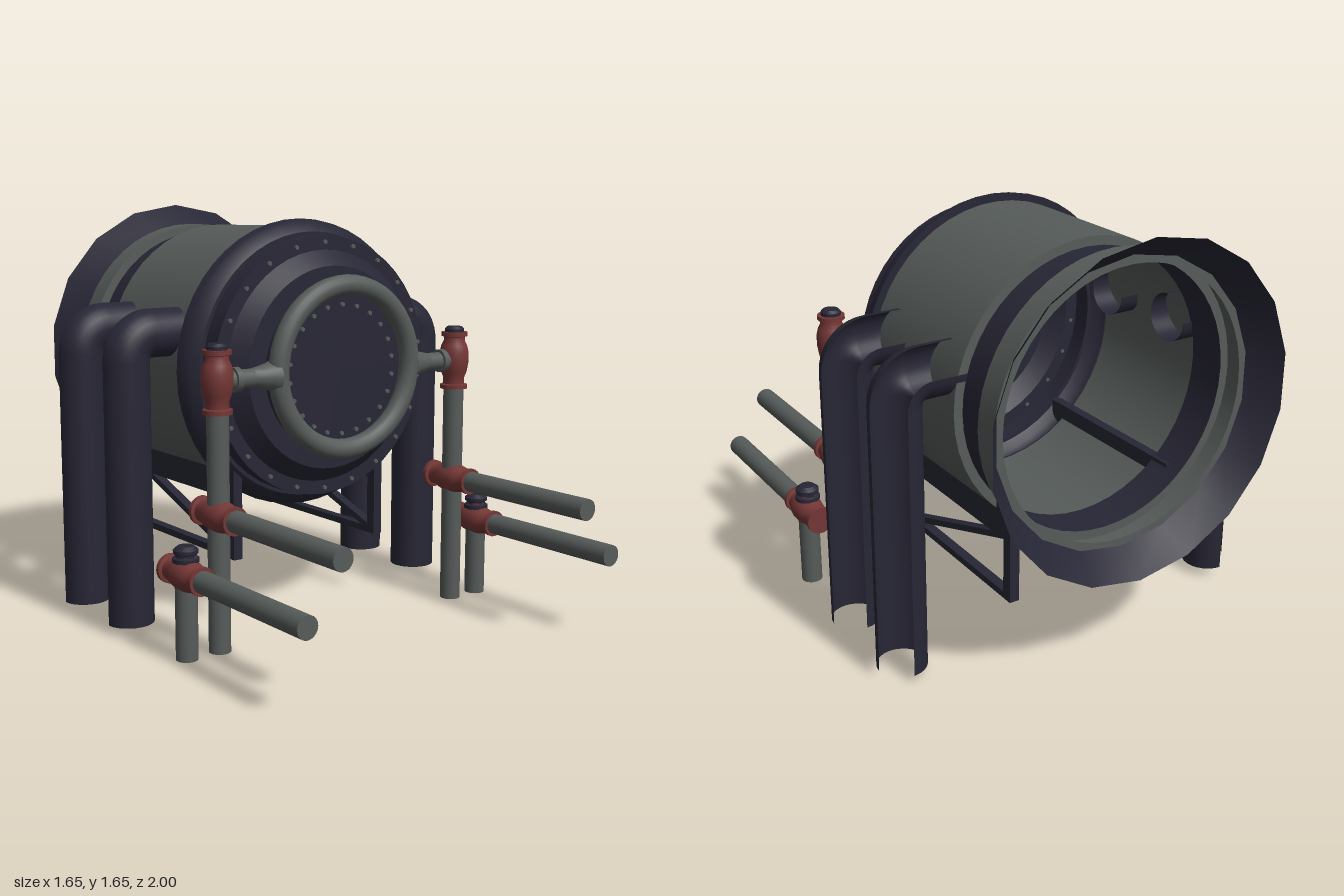
import * as THREE from 'three';
import { toCreasedNormals } from 'three/addons/utils/BufferGeometryUtils.js';
import { ParametricGeometry } from 'three/addons/geometries/ParametricGeometry.js';

const material = (name, color) => {
  const m = new THREE.MeshStandardMaterial({ color, side: THREE.DoubleSide });
  m.name = name;
  return m;
};

export function createModel() {
  const dark = material('dark steel', 0x272635);
  const gray = material('gray steel', 0x565c5a);
  const red = material('red valve paint', 0x743735);
  const AXIS = 1.02; // height of the drum axis

  const root = new THREE.Group();
  root.name = 'boiler';

  const add = (parent, name, geometry, mat, x = 0, y = 0, z = 0) => {
    const mesh = new THREE.Mesh(geometry, mat);
    mesh.name = name;
    mesh.position.set(x, y, z);
    parent.add(mesh);
    return mesh;
  };
  const lathe = (points, sides, crease = 0.5) => toCreasedNormals(
    new THREE.LatheGeometry(points.map(([r, h]) => new THREE.Vector2(r, h)), sides), crease);

  // Drum sections, each a profile of [radius, z]
  const drum = (name, points, mat, sides = 48) =>
    add(root, name, lathe(points, sides).rotateX(Math.PI / 2), mat, 0, AXIS, 0);
  drum('rearFlare', [[0.635, -1], [0.548, -0.885]], dark, 18);
  drum('rearBand', [[0.515, -0.885], [0.55, -0.885], [0.55, -0.785], [0.515, -0.785]], gray);
  drum('rearNeck', [[0.515, -0.785], [0.515, -0.63]], dark);
  drum('drumShell', [[0.515, -0.63], [0.55, -0.63], [0.55, -0.035]], gray);
  drum('frontCollar', [[0.545, -0.035], [0.58, -0.035], [0.575, -0.005], [0.56, 0.025],
    [0.53, 0.05], [0.515, 0.05]], dark);
  drum('frontFlange', [[0.515, 0.05], [0.515, 0.13], [0.46, 0.13]], dark);
  drum('frontCone', [[0.46, 0.13], [0.4, 0.19], [0.32, 0.19]], dark);
  drum('frontCover', [[0.325, 0.185], [0.325, 0.24], [0, 0.24]], dark);

  // Ring pipe around the cover
  add(root, 'ringPipe', new THREE.TorusGeometry(0.32, 0.04, 16, 48), gray, 0, AXIS + 0.01, 0.27);

  // Bolt circles
  const boltCircle = (name, radius, z, size) => {
    const bolts = new THREE.Group();
    bolts.name = name;
    const geometry = new THREE.CylinderGeometry(size, size, 0.012, 6).rotateX(Math.PI / 2);
    for (let i = 0; i < 22; i++) {
      const a = (i / 22) * Math.PI * 2;
      add(bolts, 'bolt', geometry, gray, Math.sin(a) * radius, AXIS + Math.cos(a) * radius, z);
    }
    root.add(bolts);
  };
  boltCircle('flangeBolts', 0.49, 0.134, 0.009);
  boltCircle('coverBolts', 0.253, 0.244, 0.009);

  // Cut-away downpipe: three quarters of a tube swept up, round the elbow and into the drum
  const stations = [[0.73, 0.035, 1, 0]];
  for (let i = 0; i <= 10; i++) {
    const a = (i / 10) * Math.PI / 2, c = Math.cos(a), s = Math.sin(a);
    stations.push([0.63 + 0.1 * c, 1.065 + 0.1 * s, c, s]);
  }
  stations.push([0.45, 1.165, 0, 1]);
  const downpipe = new ParametricGeometry((u, v, target) => {
    const [x, y, nx, ny] = stations[Math.round(u * (stations.length - 1))];
    const a = v * Math.PI * 1.5, c = 0.095 * Math.cos(a);
    target.set(x + nx * c, y + ny * c, 0.095 * Math.sin(a));
  }, stations.length - 1, 18);
  downpipe.computeVertexNormals();

  // Valve body, 0.24 long and centred on its length
  const valve = lathe([[0, -0.12], [0.056, -0.12], [0.056, -0.103], [0.043, -0.1], [0.043, -0.075],
    [0.053, -0.05], [0.06, -0.01], [0.06, 0.03], [0.053, 0.06], [0.043, 0.08], [0.043, 0.095],
    [0.054, 0.098], [0.054, 0.115], [0, 0.115]], 24, 0.7);
  const valveAlongZ = valve.clone().rotateX(Math.PI / 2);
  const pipe = (length, r = 0.042) => new THREE.CylinderGeometry(r, r, length, 20);

  const buildSide = (name, sign) => {
    const side = new THREE.Group();
    side.name = name;
    side.scale.x = sign;
    root.add(side);

    for (const z of [-0.165, -0.54]) add(side, 'downpipe', downpipe, dark, 0, 0, z);

    // Feed from the ring pipe to the upper valve
    const Z = 0.255;
    add(side, 'feedPipe', pipe(0.22, 0.036).rotateZ(Math.PI / 2), gray, 0.44, AXIS, Z);
    add(side, 'feedReducer', lathe([[0.065, 0], [0.052, 0.03], [0.042, 0.07], [0.036, 0.1]], 20, 1)
      .rotateZ(-Math.PI / 2), gray, 0.33, AXIS, Z);
    add(side, 'feedCollar', pipe(0.025, 0.047).rotateZ(Math.PI / 2), gray, 0.505, AXIS, Z);
    add(side, 'upperValve', valve, red, 0.582, 1.02, Z);
    add(side, 'upperValveCap', lathe([[0.04, 0], [0.04, 0.014], [0.03, 0.024], [0, 0.026]], 16),
      dark, 0.582, 1.134, Z);

    // Standing pipes
    add(side, 'tallPipe', pipe(0.91), gray, 0.582, 0.455, Z);
    add(side, 'shortPipe', pipe(0.3), gray, 0.725, 0.15, Z);

    // Forward pipes with their valves
    for (const [x, y] of [[0.582, 0.52], [0.725, 0.32]]) {
      add(side, 'forwardValve', valveAlongZ, red, x, y, Z);
      add(side, 'forwardPipe', pipe(0.65).rotateX(Math.PI / 2), gray, x, y, 0.675);
    }
    add(side, 'valveNeck', pipe(0.08, 0.04), red, 0.725, 0.355, Z);
    add(side, 'valveCap', lathe([[0, 0], [0.05, 0], [0.05, 0.015], [0.04, 0.02], [0.04, 0.03],
      [0.047, 0.034], [0.047, 0.046], [0.03, 0.06], [0, 0.06]], 20), dark, 0.725, 0.37, Z);

    // Support frame: top rail, bottom rail, posts and a diagonal
    const X = 0.355, T = 0.04;
    const bar = (part, h, d, y, z) => add(side, part, new THREE.BoxGeometry(T, h, d), dark, X, y, z);
    bar('frameTopRail', 0.135, 0.76, 0.578, -0.34);
    bar('frameBottomRail', 0.027, 0.76, 0.281, -0.34);
    bar('frameFrontPost', 0.375, 0.045, 0.457, 0.0175);
    bar('frameRearPost', 0.375, 0.045, 0.457, -0.6975);
    const rise = 0.24, run = 0.7;
    bar('frameDiagonal', 0.024, Math.hypot(rise, run), 0.41, -0.34).rotation.x = Math.atan2(rise, run);
  };
  buildSide('leftSide', 1);
  buildSide('rightSide', -1);

  return root;
}
